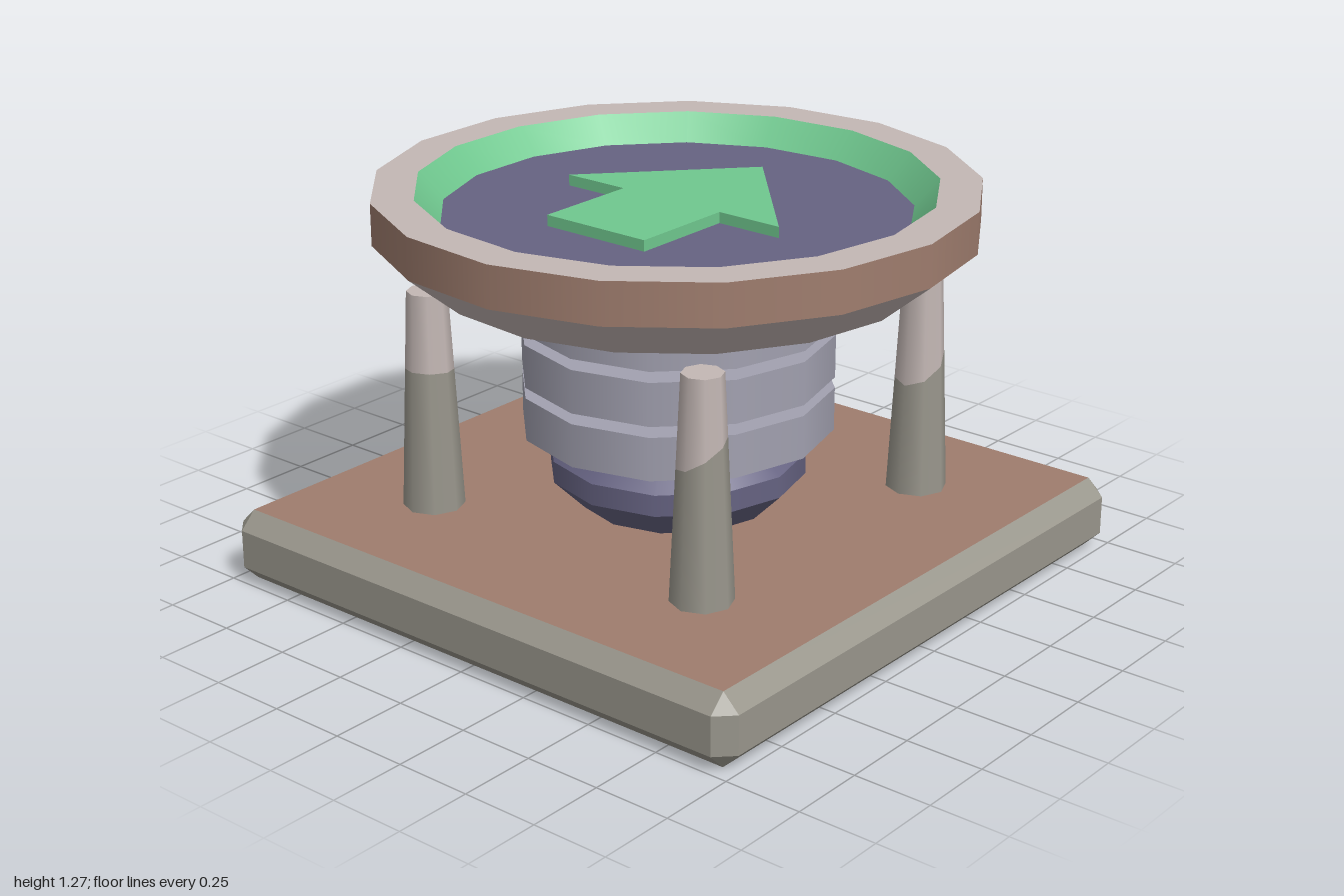
import * as THREE from 'three';
import { ConvexGeometry } from 'three/addons/geometries/ConvexGeometry.js';

const material = (name, color) => {
  const m = new THREE.MeshStandardMaterial({ color });
  m.name = name;
  return m;
};

export function createModel() {
  const model = new THREE.Group();
  model.name = 'jumpPad';

  const grey = material('stoneGrey', 0x99968c);
  const brown = material('clayBrown', 0x9f7d6e);
  const pale = material('paleRoseGrey', 0xc4b8b5);
  const navy = material('duskNavy', 0x666382);
  const silver = material('coilSilver', 0xa2a1b0);
  const green = material('mintGreen', 0x70c88f);

  const add = (name, geometry, mat, parent = model) => {
    const mesh = new THREE.Mesh(geometry, mat);
    mesh.name = name;
    parent.add(mesh);
    return mesh;
  };

  // One conical band of revolution; rising bands face outward, falling ones inward
  const band = (r0, y0, r1, y1, sides) => new THREE.LatheGeometry(
    [new THREE.Vector2(r0, y0), new THREE.Vector2(r1, y1)], sides, Math.PI / 2);

  // Chain of bands with hard edges between them: profile is [radius, y, material of next band]
  const turned = (name, profile, sides) => {
    const group = new THREE.Group();
    group.name = name;
    for (let i = 0; i < profile.length - 1; i++) {
      const [r0, y0, mat] = profile[i];
      const [r1, y1] = profile[i + 1];
      add(name + 'Band' + (i + 1), band(r0, y0, r1, y1, sides), mat, group);
    }
    model.add(group);
    return group;
  };

  // Base slab with every edge bevelled; flat top and bottom are brown
  const outer = 1, inner = 0.945, mid = 0.1175, bevel = 0.055;
  const points = [];
  for (const sx of [-1, 1]) for (const sy of [-1, 1]) for (const sz of [-1, 1]) {
    points.push(
      new THREE.Vector3(sx * outer, mid + sy * (mid - bevel), sz * inner),
      new THREE.Vector3(sx * inner, mid + sy * (mid - bevel), sz * outer),
      new THREE.Vector3(sx * inner, mid + sy * mid, sz * inner));
  }
  const slab = new ConvexGeometry(points);
  const normals = slab.attributes.normal;
  for (let i = 0; i < normals.count; i += 3) {
    slab.addGroup(i, 3, Math.abs(normals.getY(i)) > 0.95 ? 1 : 0);
  }
  add('base', slab, [grey, brown]);

  // Spring foot
  turned('springFoot', [
    [0, 0.23, navy], [0.305, 0.23, navy], [0.41, 0.335, navy],
    [0.41, 0.405, navy], [0.32, 0.492, navy], [0, 0.492]], 12);

  // Three separate spring discs
  for (const [i, y] of [0.49, 0.665, 0.84].entries()) {
    turned('springDisc' + (i + 1), [
      [0, y, silver], [0.497, y, silver], [0.497, y + 0.14, silver], [0, y + 0.14]], 12);
  }

  // Dished platform
  turned('platform', [
    [0, 1.0, navy], [0.772, 1.0, pale], [0.938, 1.137, brown],
    [0.938, 1.27, pale], [0.807, 1.27, green], [0.73, 1.185, navy], [0, 1.185]], 17);

  // Raised arrow pointing to the back
  const arrow = new THREE.Shape([
    [0, 0.425], [-0.415, -0.03], [-0.19, -0.03], [-0.19, -0.38],
    [0.19, -0.38], [0.19, -0.03], [0.415, -0.03],
  ].map(([x, y]) => new THREE.Vector2(x, y)));
  const arrowGeometry = new THREE.ExtrudeGeometry(arrow, { depth: 0.035, bevelEnabled: false });
  arrowGeometry.rotateX(-Math.PI / 2).translate(0, 1.186, 0);
  add('arrow', arrowGeometry, green);

  // Tapered posts with a pale tip; the colour border is a tilted plane
  const bottom = 0.23, top = 0.947;
  const radiusAt = y => THREE.MathUtils.mapLinear(y, bottom, top, 0.098, 0.064);
  const posts = [
    ['leftFront', 1, 1, 0.70, 0.45, -0.45],
    ['leftBack', 1, -1, 0.65, 0.1, -0.65],
    ['rightFront', -1, 1, 0.69, 0.05, 0.1],
    ['rightBack', -1, -1, 0.69, -0.2, 0.2],
  ];
  for (const [name, sx, sz, border, slopeX, slopeZ] of posts) {
    const post = new THREE.Group();
    post.name = name + 'Post';
    post.position.set(sx * 0.545, 0, sz * 0.545);
    const tilt = geometry => {
      const p = geometry.attributes.position;
      for (let i = 0; i < p.count; i++) {
        if (Math.abs(p.getY(i) - border) > 1e-4) continue;
        const y = border + slopeX * p.getX(i) + slopeZ * p.getZ(i);
        const k = radiusAt(y) / radiusAt(border);
        p.setXYZ(i, p.getX(i) * k, y, p.getZ(i) * k);
      }
      return geometry;
    };
    const rb = radiusAt(border);
    add('postShaft', tilt(band(radiusAt(bottom), bottom, rb, border, 8)), grey, post);
    add('postTip', tilt(band(rb, border, radiusAt(top), top, 8)), pale, post);
    add('postCap', band(radiusAt(top), top, 0, top, 8), pale, post);
    model.add(post);
  }

  return model;
}
